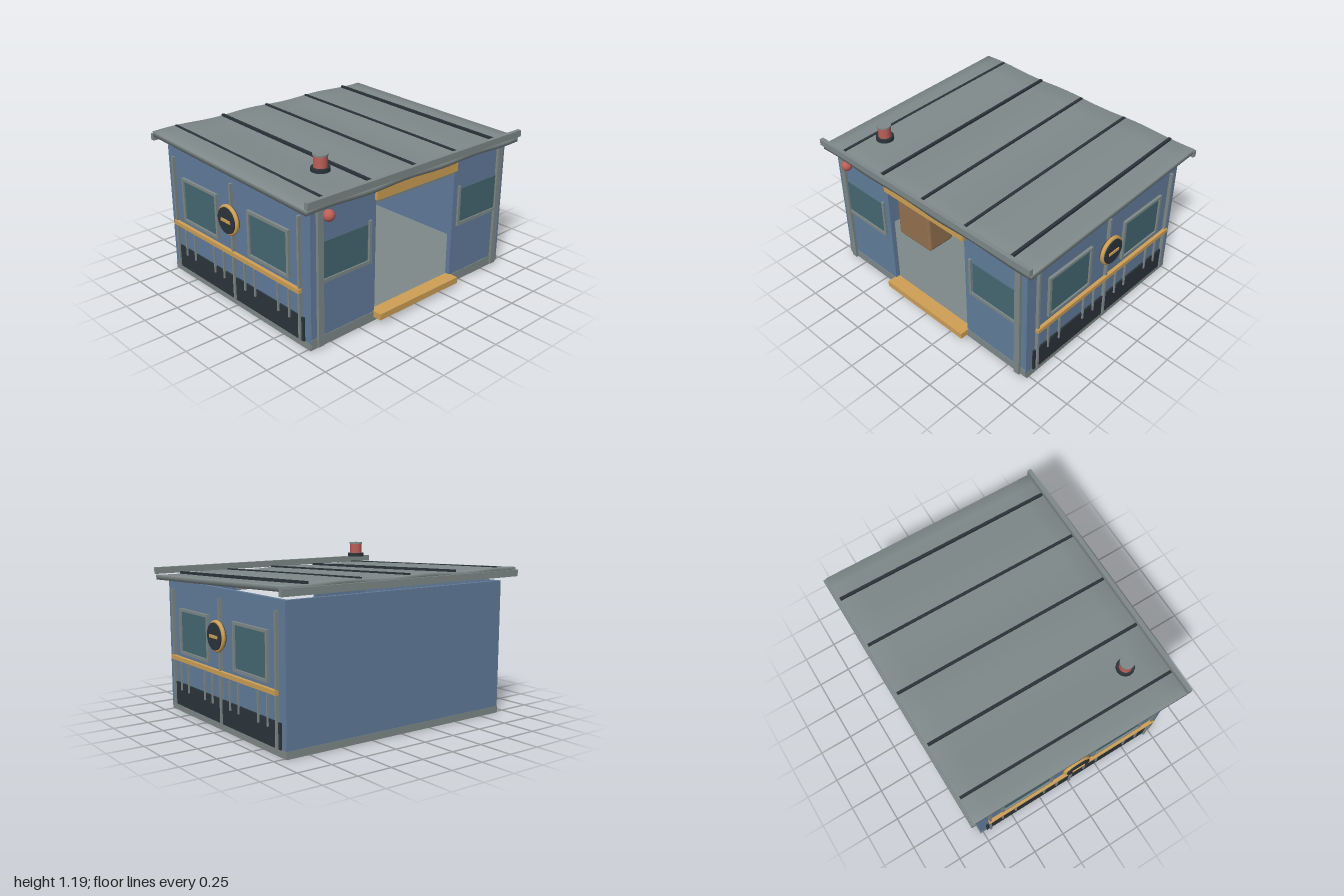
import * as THREE from 'three';
import { mergeVertices } from 'three/addons/utils/BufferGeometryUtils.js';
import { RoundedBoxGeometry } from 'three/addons/geometries/RoundedBoxGeometry.js';

const mat = (color) => new THREE.MeshStandardMaterial({ color });
const blue = mat(0x627d9c), grey = mat(0x7f8989), dark = mat(0x2b343b), tan = mat(0xcfa055);
const glass = mat(0x456872), brown = mat(0x94704f), red = mat(0xbc5f58);

function add(parent, name, geometry, material, x = 0, y = 0, z = 0) {
  const mesh = new THREE.Mesh(geometry, material);
  mesh.name = name;
  mesh.position.set(x, y, z);
  parent.add(mesh);
  return mesh;
}

// Box given by its extents along each axis
function box(parent, name, material, [x0, x1], [y0, y1], [z0, z1]) {
  return add(parent, name, new THREE.BoxGeometry(x1 - x0, y1 - y0, z1 - z0), material,
    (x0 + x1) / 2, (y0 + y1) / 2, (z0 + z1) / 2);
}

function group(parent, name) {
  const g = new THREE.Group();
  g.name = name;
  parent.add(g);
  return g;
}

// Height of the middle of the roof sheet, which rises to the back and ripples
const slopeY = (z) => 1.018 - 0.042 * z;
const roofY = (x, z) => slopeY(z) + 0.009 * Math.cos(9.4 * (x + 0.15)) * (0.8 + 0.2 * Math.cos(3 * z));

function buildRoof(root) {
  const roof = group(root, 'roof');
  let sheet = new THREE.BoxGeometry(1.99, 0.036, 1.67, 24, 1, 10);
  sheet.deleteAttribute('normal');
  sheet.deleteAttribute('uv');
  sheet = mergeVertices(sheet);
  const p = sheet.attributes.position;
  for (let i = 0; i < p.count; i++) p.setY(i, p.getY(i) + roofY(p.getX(i), p.getZ(i)));
  sheet.computeVertexNormals();
  add(roof, 'roofSheet', sheet, grey);

  for (const x of [-0.81, -0.405, 0, 0.4, 0.8]) {
    const seam = add(roof, 'roofSeam', new THREE.BoxGeometry(0.02, 0.022, 1.65), dark, x, slopeY(0) + 0.019, 0);
    seam.rotation.x = Math.atan(0.042);
  }
  box(roof, 'frontGutter', grey, [-1, 1], [1.005, 1.052], [0.825, 0.855]);
  box(roof, 'backGutter', grey, [-1, 1], [1.005, 1.052], [-0.855, -0.825]);
}

// Fittings of one side wall, built for +x; the other side is turned half round
function buildSide(root, name) {
  const side = group(root, name);
  box(side, 'kickPanel', dark, [0.915, 0.932], [0.05, 0.22], [-0.72, 0.72]);
  for (const z of [-0.69, 0, 0.69])
    box(side, 'wallBatten', grey, [0.915, 0.945], [0.05, 0.905], [z - 0.008, z + 0.008]);
  for (const z of [0.12, 0.23, 0.475, 0.585]) for (const s of [-1, 1])
    box(side, 'baluster', grey, [0.928, 0.942], [0.17, 0.37], [s * z - 0.006, s * z + 0.006]);
  box(side, 'handRail', tan, [0.93, 0.955], [0.39, 0.42], [-0.705, 0.705]);
  for (const z of [-0.38, 0.38]) {
    const w = group(side, 'sideWindow');
    box(w, 'glass', glass, [0.915, 0.928], [0.46, 0.76], [z - 0.2, z + 0.2]);
    for (const y of [0.445, 0.755])
      box(w, 'frameRail', grey, [0.915, 0.94], [y, y + 0.02], [z - 0.21, z + 0.21]);
    for (const s of [-1, 1])
      box(w, 'frameStile', grey, [0.915, 0.94], [0.465, 0.755], [z + s * 0.2 - 0.01, z + s * 0.2 + 0.01]);
  }
  // Round badge
  const badge = group(side, 'badge');
  badge.position.set(0.96, 0.655, 0);
  badge.rotation.z = -Math.PI / 2;
  add(badge, 'badgeDisc', new THREE.CylinderGeometry(0.092, 0.092, 0.045, 32), dark);
  const ring = add(badge, 'badgeRing', new THREE.TorusGeometry(0.094, 0.015, 10, 40), tan);
  ring.rotation.x = Math.PI / 2;
  box(badge, 'badgeBar', tan, [-0.01, 0.01], [0.02, 0.03], [-0.05, 0.05]);
  return side;
}

function buildFront(root) {
  const front = group(root, 'frontFittings');
  for (const s of [-1, 1]) {
    const span = (a, b) => (s > 0 ? [a, b] : [-b, -a]);
    box(front, 'cornerPost', grey, span(0.83, 0.875), [0.02, 0.955], [0.77, 0.8]);
    box(front, 'windowGlass', glass, span(0.45, 0.83), [0.478, 0.73], [0.77, 0.786]);
    box(front, 'windowSill', grey, span(0.42, 0.835), [0.455, 0.48], [0.77, 0.795]);
    box(front, 'windowStile', grey, span(0.42, 0.44), [0.455, 0.755], [0.77, 0.795]);
  }
  box(front, 'doorSign', tan, [-0.385, 0.385], [0.88, 0.99], [0.765, 0.8]);
  box(front, 'doorHeadRail', grey, [-0.37, 0.37], [0.85, 0.88], [0.74, 0.775]);
  box(front, 'doorStep', tan, [-0.385, 0.385], [0.04, 0.085], [0.75, 0.85]);
  add(front, 'alarmLight', new THREE.SphereGeometry(0.039, 24, 16), red, -0.79, 0.9, 0.8);
}

function buildInterior(root) {
  const room = group(root, 'interior');
  box(room, 'bench', brown, [-0.5, 0.5], [0.165, 0.275], [-0.72, -0.48]);
  for (const x of [-0.23, 0, 0.23])
    box(room, 'backWallPost', grey, [x - 0.01, x + 0.01], [0.08, 0.85], [-0.745, -0.725]);
  add(room, 'cabinet', new RoundedBoxGeometry(0.36, 0.35, 0.24, 3, 0.025), brown, -0.58, 0.255, 0.3);
  box(room, 'radio', dark, [-0.57, -0.47], [0.43, 0.48], [0.26, 0.34]);
  box(room, 'radioAerial', dark, [-0.53, -0.52], [0.48, 0.6], [0.29, 0.3]);
  // Stool
  for (const x of [-0.57, -0.44]) for (const z of [-0.32, -0.19])
    add(room, 'stoolLeg', new THREE.CylinderGeometry(0.009, 0.009, 0.24, 10), grey, x, 0.2, z);
  box(room, 'stoolSeat', tan, [-0.59, -0.42], [0.32, 0.35], [-0.34, -0.17]);
}

function buildBeacon(root) {
  const beacon = group(root, 'beacon');
  beacon.position.set(-0.64, 0, 0.555);
  const disc = (name, m, r, y0, y1) =>
    add(beacon, name, new THREE.CylinderGeometry(r, r, y1 - y0, 28), m, 0, (y0 + y1) / 2, 0);
  disc('beaconBase', dark, 0.063, 1.077, 1.103);
  disc('beaconLamp', red, 0.046, 1.103, 1.178);
  disc('beaconCap', grey, 0.05, 1.178, 1.19);
}

export function createModel() {
  const root = new THREE.Group();
  root.name = 'guardHut';

  // Floor and walls, with a wide doorway in front
  box(root, 'baseSlab', grey, [-0.922, 0.922], [0, 0.05], [-0.772, 0.772]);
  box(root, 'floor', grey, [-0.9, 0.9], [0.05, 0.08], [-0.75, 0.77]);
  box(root, 'frontKerb', grey, [-0.918, 0.918], [0.02, 0.08], [0.75, 0.784]);
  const walls = group(root, 'walls');
  box(walls, 'backWall', blue, [-0.92, 0.92], [0.05, 0.972], [-0.77, -0.74]);
  for (const s of [-1, 1]) {
    const span = (a, b) => (s > 0 ? [a, b] : [-b, -a]);
    box(walls, 'sideWall', blue, span(0.89, 0.92), [0.05, 0.972], [-0.77, 0.778]);
    box(walls, 'frontWall', blue, span(0.375, 0.92), [0.05, 0.972], [0.745, 0.78]);
  }
  box(walls, 'doorHeader', blue, [-0.375, 0.375], [0.88, 0.972], [0.745, 0.778]);

  buildFront(root);
  buildInterior(root);
  buildSide(root, 'leftSideFittings');
  buildSide(root, 'rightSideFittings').rotation.y = Math.PI;
  buildRoof(root);
  buildBeacon(root);
  return root;
}
